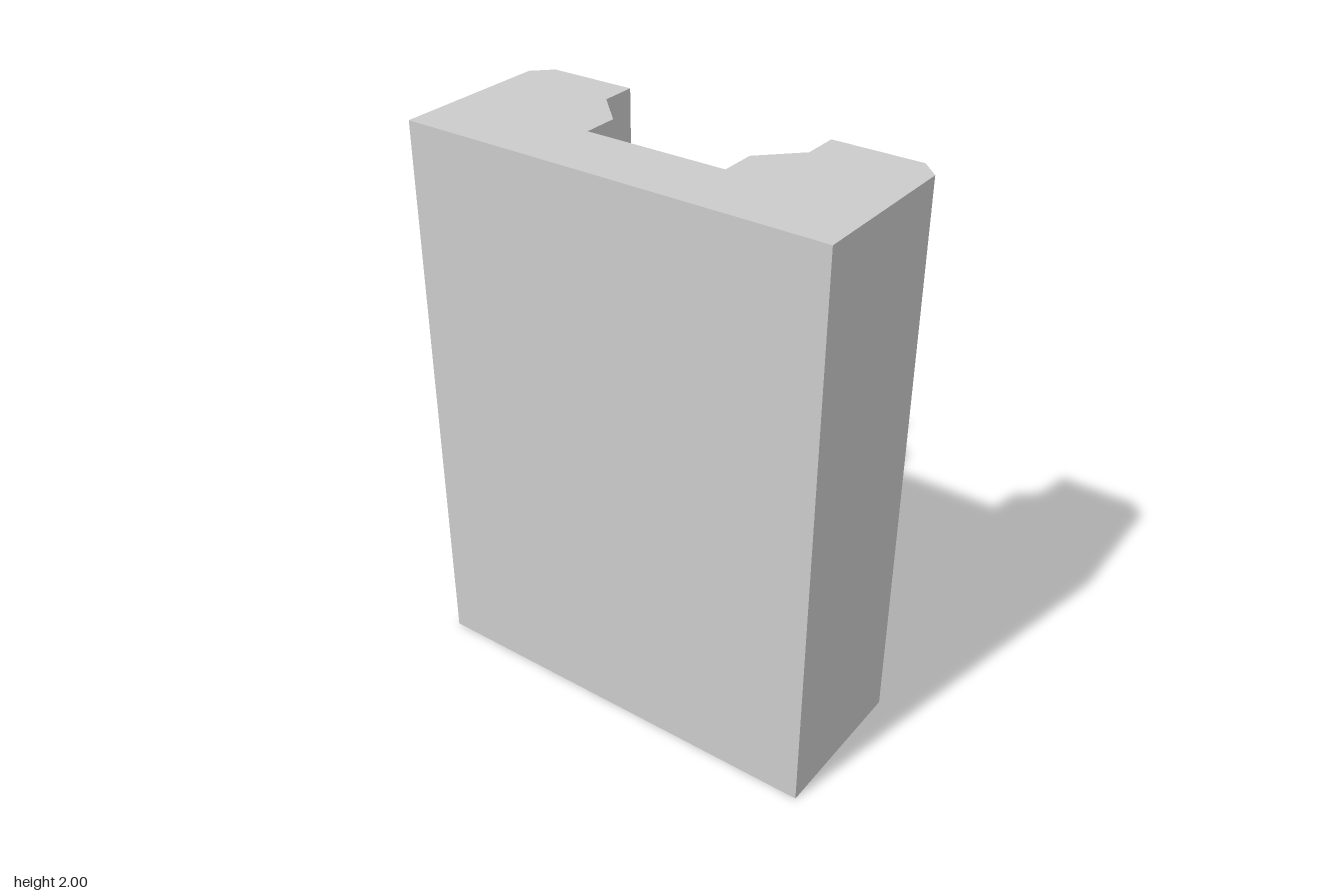
import * as THREE from 'three';

export function createModel() {
  const group = new THREE.Group();
  group.name = 'channelBlock';

  // Left half of the plan outline as (x, -z), from the front corner to the channel floor
  const half = [
    [0.75, -0.3125],
    [0.75, 0.25],      // outer back chamfer
    [0.6875, 0.3125],
    [0.375, 0.3125],   // channel mouth
    [0.375, 0.1875],
    [0.25, 0.0625],    // sloped channel wall
    [0.25, -0.0625],   // channel floor
  ];
  const mirrored = half.map(([x, y]) => [-x, y]).reverse();
  const outline = [...half, ...mirrored].map(([x, y]) => new THREE.Vector2(x, y));

  // Extrude the plan to full height and stand it upright
  const geometry = new THREE.ExtrudeGeometry(new THREE.Shape(outline), { depth: 2, bevelEnabled: false });
  geometry.rotateX(-Math.PI / 2);

  const block = new THREE.Mesh(
    geometry,
    new THREE.MeshStandardMaterial({ color: 0xcccccc, flatShading: true })
  );
  block.name = 'channelBody';
  group.add(block);
  return group;
}
